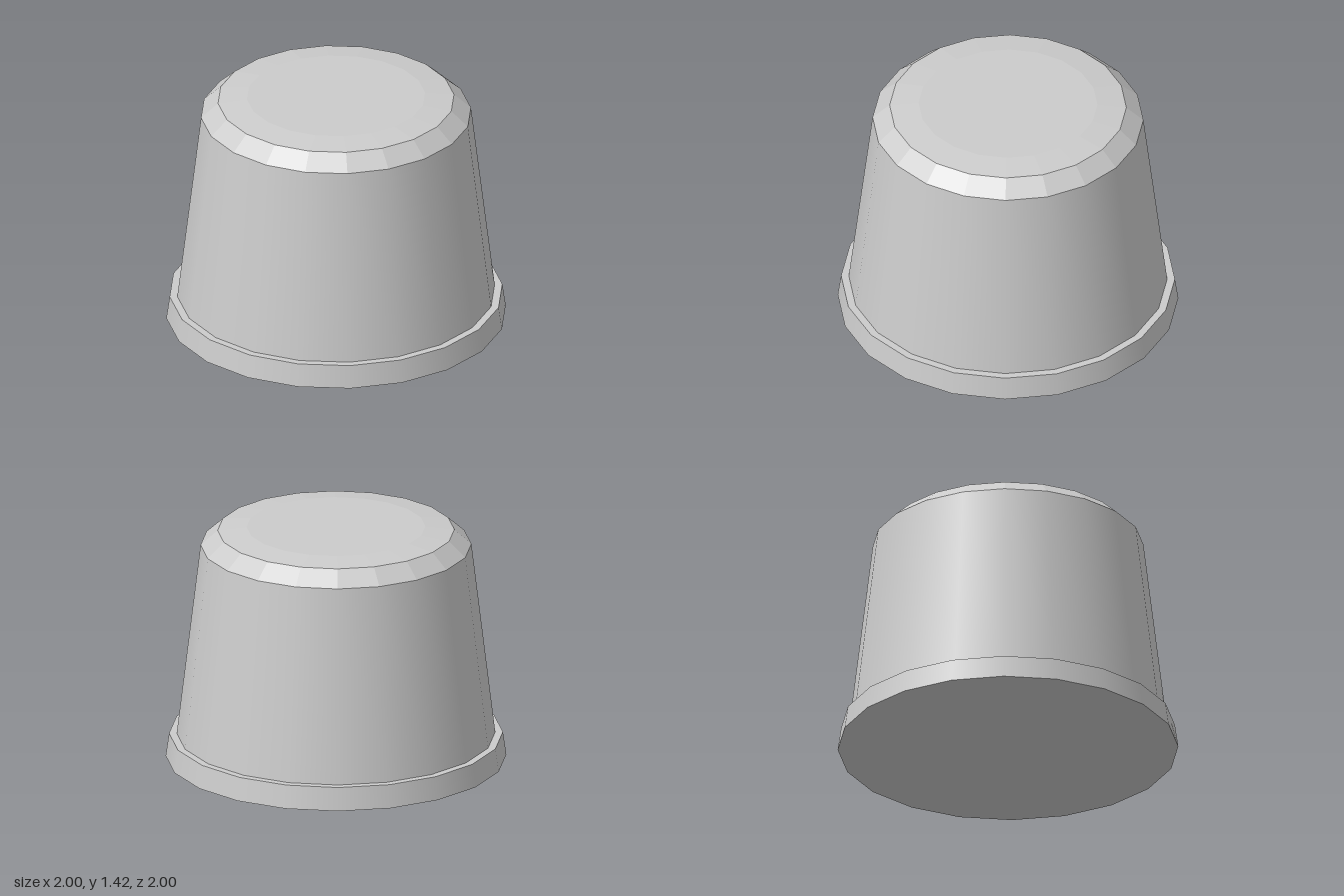
import * as THREE from 'three';

const SIDES = 20;

export function createModel() {
  const group = new THREE.Group();
  const smooth = new THREE.MeshStandardMaterial({ color: 0xcccccc });
  const faceted = new THREE.MeshStandardMaterial({ color: 0xcccccc, flatShading: true });

  // Revolve a profile of [radius, height] points, listed from bottom to top
  const revolve = (name, profile, material) => {
    const points = profile.map(([r, y]) => new THREE.Vector2(r, y));
    const mesh = new THREE.Mesh(new THREE.LatheGeometry(points, SIDES), material);
    mesh.name = name;
    group.add(mesh);
  };

  // Flat closed underside
  const underside = new THREE.Mesh(new THREE.CircleGeometry(1, SIDES), faceted);
  underside.rotation.x = Math.PI / 2;
  underside.name = 'underside';
  group.add(underside);

  // Flange around the foot and its narrow ledge
  revolve('flangeWall', [[1, 0], [0.98, 0.14]], smooth);
  revolve('flangeLedge', [[0.98, 0.14], [0.935, 0.14]], faceted);

  // Tapered body
  revolve('body', [[0.935, 0.14], [0.795, 1.31]], smooth);

  // Bevelled shoulder, then the shallow crown with a flat centre
  revolve('shoulder', [[0.795, 1.31], [0.695, 1.4]], faceted);
  revolve('crown', [[0.695, 1.4], [0.525, 1.42]], faceted);
  const top = new THREE.Mesh(new THREE.CircleGeometry(0.525, SIDES), faceted);
  top.rotation.x = -Math.PI / 2;
  top.position.y = 1.42;
  top.name = 'crownCentre';
  group.add(top);

  return group;
}
